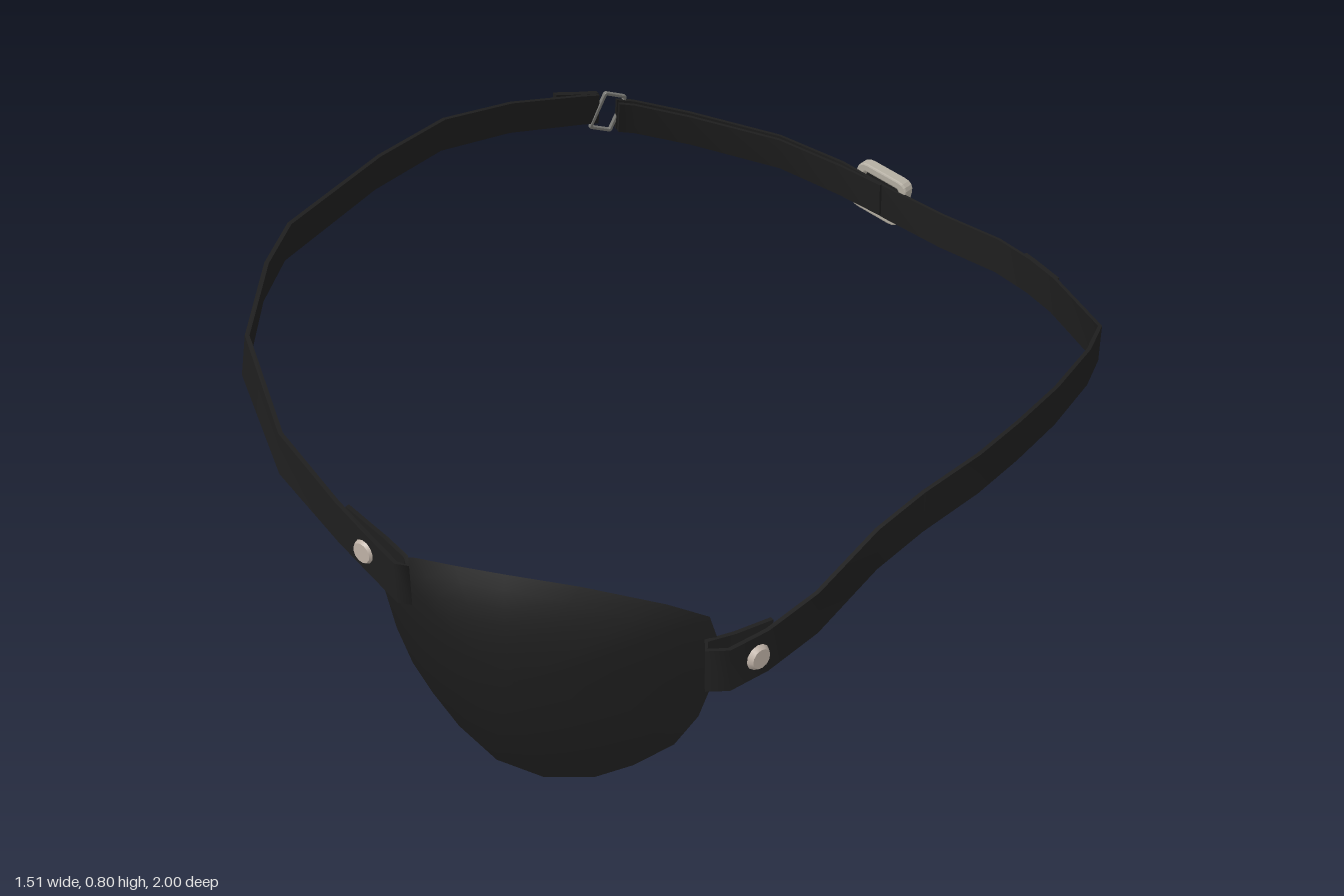
import * as THREE from 'three';

const mat = (name, color, side = THREE.FrontSide) => {
  const m = new THREE.MeshStandardMaterial({ color, side });
  m.name = name;
  return m;
};

const V = (p) => new THREE.Vector3(...p);

// Local axes of the strap: T along, U across (leaning in on the right side), N out of the face
function axes(p, T) {
  const lean = THREE.MathUtils.clamp(-p.x / 0.6, 0, 1) * 0.26;
  const U = new THREE.Vector3(-p.x, 0, -p.z).normalize().multiplyScalar(lean);
  U.y = 1;
  U.normalize();
  const N = U.clone().cross(T).normalize();
  return { U, N };
}

// Flat strap swept along points: four strips, smooth along the length, plus end caps
function strapGeometry(points, { offset = 0, height = 0.084, thick = 0.009 } = {}) {
  const pts = points.map(V);
  const rings = pts.map((p, i) => {
    const T = pts[Math.min(i + 1, pts.length - 1)].clone()
      .sub(pts[Math.max(i - 1, 0)]).normalize();
    const { U, N } = axes(p, T);
    return [[1, -1], [1, 1], [-1, 1], [-1, -1]].map(([n, u]) => p.clone()
      .addScaledVector(N, offset + n * thick / 2)
      .addScaledVector(U, u * height / 2));
  });
  const pos = [], idx = [];
  const put = (v) => pos.push(v.x, v.y, v.z) / 3 - 1;
  for (let k = 0; k < 4; k++) {
    const rows = rings.map((r) => [put(r[k]), put(r[(k + 1) % 4])]);
    for (let i = 0; i < rows.length - 1; i++) {
      const [a, b] = rows[i], [d, c] = rows[i + 1];
      idx.push(a, b, c, a, c, d);
    }
  }
  const s = rings[0].map(put), e = rings[rings.length - 1].map(put);
  idx.push(s[0], s[3], s[2], s[0], s[2], s[1], e[0], e[1], e[2], e[0], e[2], e[3]);
  const g = new THREE.BufferGeometry();
  g.setAttribute('position', new THREE.Float32BufferAttribute(pos, 3));
  g.setIndex(idx);
  g.computeVertexNormals();
  return g;
}

function roundedRect(path, w, h, r) {
  const x = w / 2, y = h / 2;
  path.moveTo(-x + r, -y);
  path.lineTo(x - r, -y); path.quadraticCurveTo(x, -y, x, -y + r);
  path.lineTo(x, y - r); path.quadraticCurveTo(x, y, x - r, y);
  path.lineTo(-x + r, y); path.quadraticCurveTo(-x, y, -x, y - r);
  path.lineTo(-x, -y + r); path.quadraticCurveTo(-x, -y, -x + r, -y);
  return path;
}

// Rectangular metal frame with a rounded edge
function frameGeometry(w, h, bar, depth, r) {
  const shape = roundedRect(new THREE.Shape(), w, h, r);
  shape.holes.push(roundedRect(new THREE.Path(), w - 2 * bar, h - 2 * bar, r * 0.4));
  const b = bar * 0.2;
  const g = new THREE.ExtrudeGeometry(shape, {
    depth: depth - 2 * b, bevelThickness: b, bevelSize: b, bevelOffset: -b,
    bevelSegments: 2, curveSegments: 4,
  });
  return g.translate(0, 0, -depth / 2 + b);
}

// Domed patch: rings shrinking from the outline to the centre
function patchGeometry() {
  const outline = [[0.05, 0.40], [0.08, 0.44], [0.13, 0.455], [0.21, 0.463], [0.3, 0.465],
    [0.42, 0.455], [0.54, 0.42], [0.595, 0.39], [0.608, 0.32], [0.598, 0.25], [0.575, 0.165],
    [0.54, 0.1], [0.48, 0.05], [0.42, 0.017], [0.335, 0.003], [0.25, 0.025], [0.18, 0.085],
    [0.13, 0.145], [0.09, 0.2], [0.06, 0.27], [0.042, 0.35]];
  const cx = 0.33, cy = 0.26, steps = 7, n = outline.length;
  const pos = [], idx = [];
  for (let j = 0; j <= steps; j++) {
    const t = j / steps;
    for (const [ox, oy] of outline) {
      const x = cx + (ox - cx) * t, y = cy + (oy - cy) * t;
      const wrap = 0.965 - 0.845 * (x - 0.04) ** 2 - 0.025 * (1 - y / 0.46);
      pos.push(x, y, wrap + 0.045 * (1 - t * t));
    }
  }
  for (let j = 0; j < steps; j++) {
    for (let i = 0; i < n; i++) {
      const a = j * n + i, b = j * n + (i + 1) % n;
      if (j > 0) idx.push(a, b, b + n);
      idx.push(a, b + n, a + n);
    }
  }
  // Outline runs clockwise from the front, so faces are turned over
  for (let i = 0; i < idx.length; i += 3) [idx[i + 1], idx[i + 2]] = [idx[i + 2], idx[i + 1]];
  const g = new THREE.BufferGeometry();
  g.setAttribute('position', new THREE.Float32BufferAttribute(pos, 3));
  g.setIndex(idx);
  g.computeVertexNormals();
  return g;
}

export function createModel() {
  const group = new THREE.Group();
  const leather = mat('black patch leather', 0x1c1c1c, THREE.DoubleSide);
  const webbing = mat('black strap', 0x1e1e1e);
  const silver = mat('buckle metal', 0xb4aea2);
  const rivetMetal = mat('rivet metal', 0xbdb0a5);
  const steel = mat('ring steel', 0x777773);

  const add = (name, geometry, material) => {
    const m = new THREE.Mesh(geometry, material);
    m.name = name;
    group.add(m);
    return m;
  };
  // Seat a part on the strap: local x along it, y across it, z outwards
  const seat = (mesh, p, along) => {
    const P = V(p), T = V(along).normalize();
    const { N } = axes(P, T);
    const X = T.clone().negate();
    mesh.matrix.makeBasis(X, N.clone().cross(X), N).setPosition(P);
    mesh.matrix.decompose(mesh.position, mesh.quaternion, mesh.scale);
  };

  add('eyePatch', patchGeometry(), leather);

  // Strap from the patch round the right side to the ring, folded at the patch
  add('frontStrap', strapGeometry([
    [-0.03, 0.465, 0.968], [0.06, 0.43, 0.962], [0.11, 0.41, 0.962], [0.127, 0.405, 0.975],
    [0.11, 0.41, 0.987], [0.03, 0.445, 0.985], [-0.04, 0.477, 0.983], [-0.2, 0.555, 0.97],
    [-0.41, 0.648, 0.865], [-0.53, 0.71, 0.71], [-0.61, 0.73, 0.58], [-0.69, 0.758, 0.25],
    [-0.738, 0.76, 0], [-0.742, 0.733, -0.23], [-0.715, 0.692, -0.46], [-0.705, 0.683, -0.508],
  ]), webbing);
  add('ringFoldFront', strapGeometry([
    [-0.728, 0.71, -0.38], [-0.715, 0.692, -0.46], [-0.703, 0.683, -0.51],
  ], { offset: 0.012, thick: 0.014 }), webbing);

  // Rear strap: ring, buckle, round the left side, folded at the patch
  const rear = [[-0.688, 0.66, -0.555], [-0.67, 0.648, -0.6], [-0.58, 0.602, -0.72],
    [-0.41, 0.53, -0.88], [-0.25, 0.478, -0.935]];
  add('rearStrap', strapGeometry([
    ...rear, [-0.12, 0.44, -0.942], [0.05, 0.41, -0.937], [0.22, 0.395, -0.925],
    [0.33, 0.385, -0.89], [0.42, 0.378, -0.845], [0.62, 0.376, -0.69], [0.67, 0.395, -0.54],
    [0.72, 0.42, -0.3], [0.745, 0.437, -0.1], [0.745, 0.432, 0.05], [0.715, 0.407, 0.2],
    [0.692, 0.375, 0.32], [0.685, 0.328, 0.5], [0.662, 0.303, 0.62], [0.642, 0.3, 0.705],
    [0.612, 0.3, 0.732], [0.595, 0.3, 0.71], [0.62, 0.3, 0.66], [0.65, 0.305, 0.59],
  ], { height: 0.088 }), webbing);
  add('adjusterLayer', strapGeometry([...rear, [-0.13, 0.45, -0.945]],
    { offset: -0.016 }), webbing);
  add('riveted overlap', strapGeometry([
    [0.3, 0.388, -0.902], [0.33, 0.385, -0.89], [0.42, 0.378, -0.845],
  ], { offset: 0.008 }), webbing);
  // Strap passing over the middle of the buckle
  add('buckleLoop', strapGeometry([
    [-0.21, 0.469, -0.945], [-0.19, 0.465, -0.98], [-0.17, 0.46, -0.994],
    [-0.12, 0.449, -0.994], [-0.1, 0.444, -0.98], [-0.09, 0.442, -0.942],
  ], { height: 0.08 }), webbing);

  // Metal fittings
  seat(add('buckle', frameGeometry(0.155, 0.13, 0.022, 0.034, 0.03), silver),
    [-0.147, 0.455, -0.96], [0.97, -0.24, 0]);
  seat(add('strapRing', frameGeometry(0.07, 0.106, 0.008, 0.01, 0.008), steel),
    [-0.695, 0.671, -0.532], [0.25, -0.33, -0.9]);

  const rivets = [
    ['rivetFront', [0.03, 0.443, 0.99], [-0.9, 0.4, 0.02]],
    ['rivetSide', [0.664, 0.301, 0.645], [-0.2, -0.12, 0.95]],
    ['rivetRear', [0.348, 0.385, -0.894], [0.88, -0.07, 0.45]],
  ];
  for (const [name, p, along] of rivets) {
    const g = new THREE.CylinderGeometry(0.02, 0.028, 0.012, 12).rotateX(Math.PI / 2);
    seat(add(name, g, rivetMetal), p, along);
  }
  return group;
}
